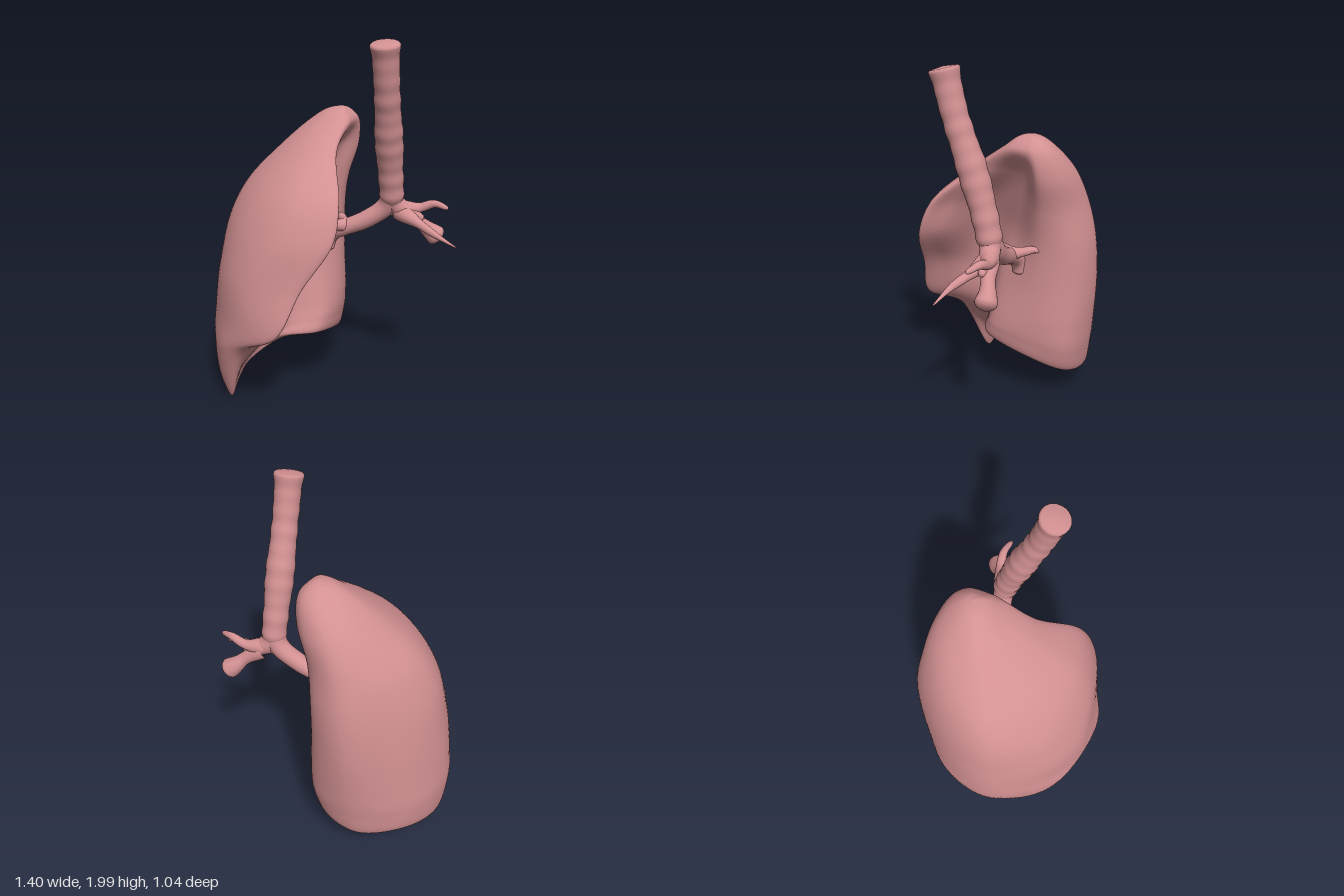
import * as THREE from 'three';
import { mergeVertices } from 'three/addons/utils/BufferGeometryUtils.js';

const material = new THREE.MeshStandardMaterial({ color: 0xd29092 });
const V = (p) => new THREE.Vector3(...p);
const { lerp, smoothstep } = THREE.MathUtils;

// Welds seams and poles so the shading is smooth everywhere.
function smooth(geometry) {
  geometry.deleteAttribute('normal');
  geometry.deleteAttribute('uv');
  const welded = mergeVertices(geometry, 1e-5);
  welded.computeVertexNormals();
  return welded;
}

function addMesh(group, name, geometry) {
  const mesh = new THREE.Mesh(geometry, material);
  mesh.name = name;
  group.add(mesh);
}

// Tube whose radius follows a function of the distance along it (0..1).
function taperedTube(points, radius, segments = 40, sides = 24) {
  const curve = new THREE.CatmullRomCurve3(points.map(V));
  const geometry = new THREE.TubeGeometry(curve, segments, 1, sides, false);
  const pos = geometry.attributes.position;
  const v = new THREE.Vector3();
  for (let i = 0; i <= segments; i++) {
    const centre = curve.getPointAt(i / segments);
    const r = radius(i / segments);
    for (let j = 0; j <= sides; j++) {
      const k = i * (sides + 1) + j;
      v.fromBufferAttribute(pos, k).sub(centre).multiplyScalar(r).add(centre);
      pos.setXYZ(k, v.x, v.y, v.z);
    }
  }
  return smooth(geometry);
}

// Radius that runs from a through m to b and closes with a rounded end.
const taper = (a, m, b) => (u) =>
  (u < 0.45 ? lerp(a, m, smoothstep(u, 0, 0.45)) : lerp(m, b, smoothstep(u, 0.45, 0.95))) *
  Math.sqrt(Math.max(0, 1 - Math.pow(Math.max(0, (u - 0.85) / 0.15), 2)));

// Windpipe radius: faint cartilage rings, a swelling in the middle, a narrowing base.
function windpipeRadius(u) {
  if (u === 0) return 0;
  const lip = u < 0.015 ? -0.008 : 0;
  const swelling = 0.009 * Math.exp(-Math.pow((u - 0.55) / 0.13, 2));
  const rings = 0.0014 * Math.sin(u * 66) + 0.0012 * Math.sin(u * 41 + 1);
  return 0.069 + 0.008 * (1 - smoothstep(u, 0, 0.15)) + lip + swelling + rings
    - 0.04 * smoothstep(u, 0.88, 1);
}

// Every lung section runs: front edge, outer side, back, inner side.
// Level sections: height, then [x, z] points.
const LEVELS = [
  [0.5, [[-.14, .51], [-.38, .45], [-.58, .26], [-.69, -.05], [-.56, -.35], [-.28, -.51], [-.06, -.45], [.012, -.25], [-.03, .01], [-.21, .13], [-.2, .38]]],
  [0.75, [[-.02, .46], [-.32, .45], [-.54, .27], [-.655, -.06], [-.55, -.33], [-.27, -.525], [-.07, -.46], [-.005, -.28], [-.08, -.03], [-.22, .13], [-.1, .37]]],
  [1.0, [[.13, .39], [-.15, .43], [-.44, .27], [-.605, -.05], [-.5, -.33], [-.25, -.515], [-.06, -.45], [-.01, -.28], [-.11, -.08], [-.18, .1], [.07, .3]]],
  [1.2, [[.135, .3], [-.1, .335], [-.34, .2], [-.51, -.08], [-.42, -.33], [-.22, -.48], [-.04, -.42], [.02, -.29], [-.06, -.14], [-.11, .02], [.06, .21]]],
  [1.4, [[.05, .085], [-.07, .11], [-.22, .03], [-.325, -.13], [-.275, -.33], [-.14, -.43], [.01, -.4], [.08, -.3], [.01, -.2], [-.01, -.11], [.035, 0]]],
  [1.54, [[.045, -.09], [-.02, -.08], [-.11, -.11], [-.17, -.19], [-.13, -.3], [-.04, -.355], [.04, -.34], [.085, -.28], [.085, -.22], [.078, -.17], [.068, -.12]]],
];
// Lower sections, which sweep down to the pointed front tip: [x, y, z].
const LOWER = [[-.38, .35, .42], [-.5, .33, .38], [-.62, .32, .22], [-.7, .32, -.05], [-.58, .33, -.34], [-.3, .32, -.49], [-.07, .34, -.44], [.005, .39, -.25], [-.03, .43, .03], [-.235, .41, .15], [-.33, .35, .34]];
const RIM = [[-.5, 0, .28], [-.56, .07, .25], [-.64, .12, .1], [-.66, .13, -.1], [-.55, .17, -.33], [-.32, .155, -.45], [-.12, .2, -.41], [-.025, .28, -.25], [-.06, .355, .06], [-.3, .33, .17], [-.44, .18, .26]];

function lungGeometry(around = 110, along = 120) {
  const apex = V([0, 1.615, -.225]);
  const dome = V([-.32, .38, -.08]);
  const rim = RIM.map(V);
  const toward = (ring, target, k) => ring.map((p) => p.clone().lerp(target, k));
  const levels = LEVELS.map(([y, pts]) => pts.map(([x, z]) => V([x, y, z])));
  const crown = toward(levels[5], apex, 0.55);
  crown.forEach((p) => { p.y = 1.599; });
  // Underside: rim points evened out with their neighbours, then raised to the dome
  const vault = (even, k, lift) => rim.map((p, j) => {
    const mean = rim[(j + 1) % rim.length].clone().add(rim.at(j - 1)).multiplyScalar(0.5);
    const q = p.clone().lerp(mean, even);
    const y = lerp(q.y, dome.y, lift);
    return q.lerp(dome, k).setY(y);
  });

  // Hollow underside, rim, body, crown
  const sections = [
    vault(0, 1, 1), vault(1, 0.55, 0.78), vault(0.6, 0.13, 0.22),
    rim, LOWER.map(V), ...levels, crown, toward(crown, apex, 1),
  ];
  const loops = sections.map((s) => {
    if (s[0].distanceTo(s[5]) < 1e-6) return Array.from({ length: around }, () => s[0]);
    const curve = new THREE.CatmullRomCurve3(s, true);
    return Array.from({ length: around }, (_, j) => curve.getPoint(j / around));
  });

  const positions = [], index = [];
  const columns = Array.from({ length: around }, (_, j) =>
    new THREE.CatmullRomCurve3(loops.map((l) => l[j])));
  for (let i = 0; i <= along; i++) {
    for (const column of columns) positions.push(...column.getPoint(i / along).toArray());
  }
  for (let i = 0; i < along; i++) {
    for (let j = 0; j < around; j++) {
      const a = i * around + j, b = i * around + (j + 1) % around;
      const c = a + around, d = b + around;
      // Rows at the two poles need only one triangle per column
      if (i > 0) index.push(a, c, b);
      if (i < along - 1) index.push(b, c, d);
    }
  }
  // The lowest row starts at the dome point, so its triangles use the row above
  const geometry = new THREE.BufferGeometry();
  geometry.setAttribute('position', new THREE.Float32BufferAttribute(positions, 3));
  geometry.setIndex(index);
  return smooth(geometry);
}

// Bronchi and their branches: name, path, start, middle and end radius
const BRANCHES = [
  ['rightBronchus', [[.318, 1.2, -.132], [.285, 1.08, -.155], [.17, .99, -.145], [.06, .94, -.135], [-.05, .89, -.135]], [.062, .052, .045]],
  ['rightLowerBranch', [[.03, .93, -.135], [-.03, .89, -.14], [-.06, .84, -.145], [-.07, .79, -.15]], [.045, .045, .05]],
  ['rightFrontBranch', [[.05, .95, -.13], [0, .96, -.06], [-.03, .98, .01], [-.05, 1.01, .07]], [.04, .022, .012]],
  ['rightBackBranch', [[.06, .95, -.13], [.02, .96, -.2], [-.01, .97, -.25], [-.04, .95, -.3]], [.04, .025, .012]],
  ['leftBronchus', [[.308, 1.2, -.132], [.33, 1.09, -.16], [.4, 1.04, -.178], [.49, 1.005, -.19]], [.062, .054, .025]],
  ['leftUpperBranch', [[.36, 1.055, -.175], [.46, 1.062, -.21], [.54, 1.09, -.21], [.625, 1.075, -.18]], [.05, .026, .016]],
  ['leftFrontBranch', [[.35, 1.045, -.17], [.46, 1.0, -.125], [.57, .955, -.07], [.7, .9, -.035]], [.052, .024, .007]],
  ['leftLowerBranch', [[.37, 1.035, -.18], [.46, .975, -.215], [.515, .925, -.24], [.575, .875, -.255]], [.05, .037, .06]],
];

export function createModel() {
  const group = new THREE.Group();
  group.name = 'lungAndAirway';

  addMesh(group, 'lung', lungGeometry());
  addMesh(group, 'windpipe', taperedTube(
    [[.315, 1.985, .1], [.315, 1.75, .04], [.31, 1.5, -.045], [.31, 1.25, -.12], [.315, 1.03, -.168]],
    windpipeRadius, 120, 32));
  for (const [name, path, radii] of BRANCHES) addMesh(group, name, taperedTube(path, taper(...radii)));

  return group;
}
